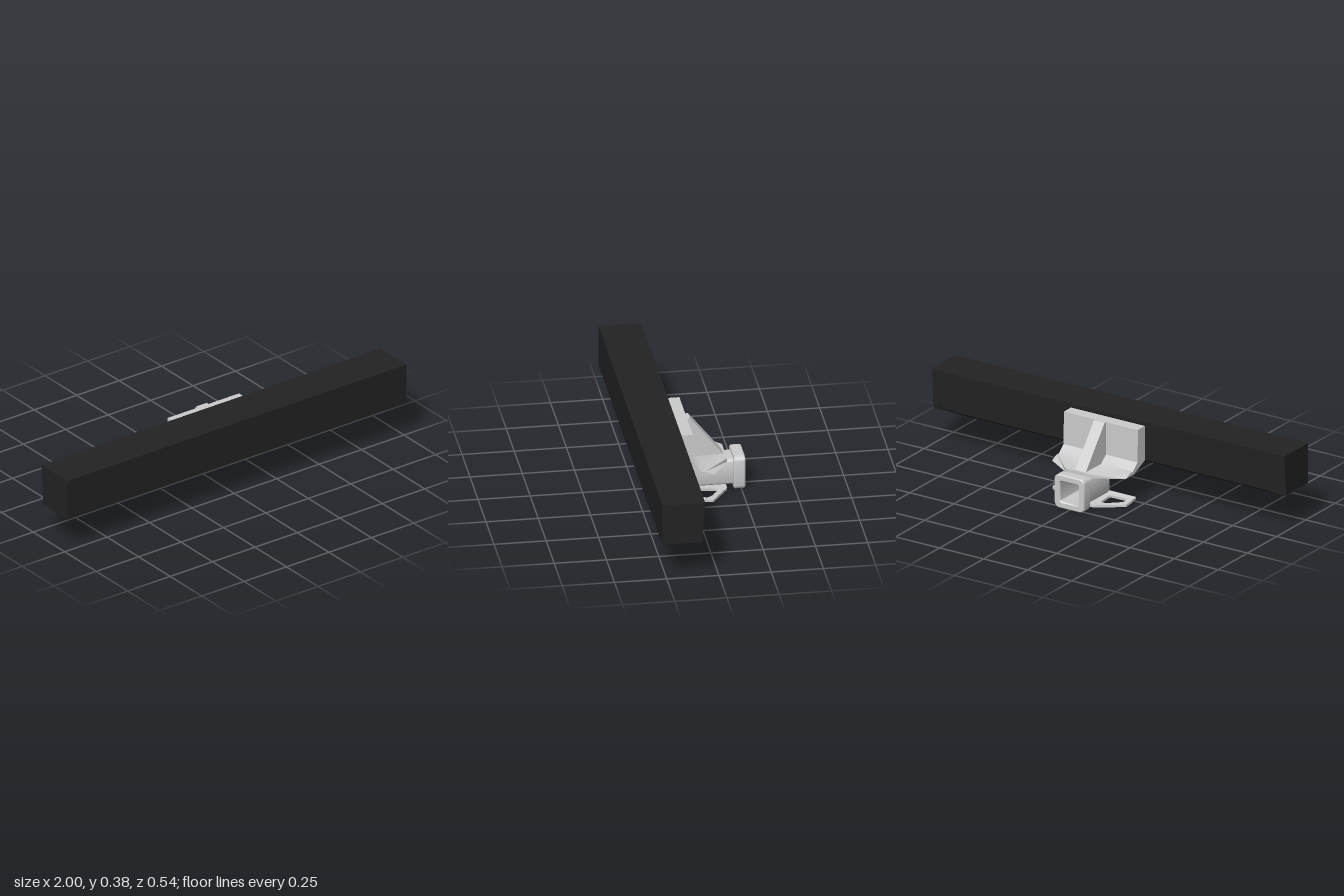
import * as THREE from 'three';
import { toCreasedNormals } from 'three/addons/utils/BufferGeometryUtils.js';

const steel = new THREE.MeshStandardMaterial({ color: 0xcccccc });
const black = new THREE.MeshStandardMaterial({ color: 0x222222 });

function part(name, geometry, material = steel, crease = 0.75) {
  const mesh = new THREE.Mesh(toCreasedNormals(geometry, crease), material);
  mesh.name = name;
  return mesh;
}

// Joins [z, y] sections placed along x and closes both ends
function loft(xs, sections) {
  const n = sections[0].length, pos = [], index = [];
  sections.forEach((s, i) => s.forEach(([z, y]) => pos.push(xs[i], y, z)));
  for (let i = 0; i < xs.length - 1; i++) {
    for (let j = 0; j < n; j++) {
      const a = i * n + j, b = i * n + (j + 1) % n;
      index.push(a, a + n, b, b, a + n, b + n);
    }
  }
  // sections run clockwise in (z, y) with z pointing left
  const cap = (s) => THREE.ShapeUtils.triangulateShape(s.map(([z, y]) => new THREE.Vector2(z, y)), []);
  const end = (xs.length - 1) * n;
  const area = THREE.ShapeUtils.area(sections[0].map(([z, y]) => new THREE.Vector2(z, y)));
  const facing = (t, s, wantPositive) => {
    const [a, b, c] = t.map((k) => s[k]);
    const cross = (b[0] - a[0]) * (c[1] - a[1]) - (b[1] - a[1]) * (c[0] - a[0]);
    return (cross > 0) === wantPositive ? t : [t[0], t[2], t[1]];
  };
  // in (z, y) a counter-clockwise triangle faces -x
  cap(sections[0]).forEach((t) => index.push(...facing(t, sections[0], true)));
  const last = sections[sections.length - 1];
  cap(last).forEach((t) => index.push(...facing(t, last, false).map((k) => k + end)));
  // side walls must face outwards whichever way the section turns
  if (area < 0) {
    const walls = (xs.length - 1) * n * 6;
    for (let i = 0; i < walls; i += 3) [index[i + 1], index[i + 2]] = [index[i + 2], index[i + 1]];
  }
  const g = new THREE.BufferGeometry();
  g.setAttribute('position', new THREE.Float32BufferAttribute(pos, 3));
  g.setIndex(index);
  return g;
}

// Square outline with rounded corners
function roundedSquare(half, r, Type = THREE.Shape) {
  const s = new Type(), h = half - r;
  s.absarc(h, h, r, 0, Math.PI / 2);
  s.absarc(-h, h, r, Math.PI / 2, Math.PI);
  s.absarc(-h, -h, r, Math.PI, Math.PI * 1.5);
  s.absarc(h, -h, r, Math.PI * 1.5, Math.PI * 2);
  s.closePath();
  return s;
}

// Hollow square section from zBack to zFront
function squareTube(half, r, bore, zBack, zFront, bevel) {
  const s = roundedSquare(half - bevel, r);
  s.holes.push(roundedSquare(bore + bevel, 0.01 + bevel, THREE.Path));
  const g = new THREE.ExtrudeGeometry(s, {
    depth: zFront - zBack - 2 * bevel, curveSegments: 6,
    bevelEnabled: bevel > 0, bevelSize: bevel, bevelThickness: bevel, bevelSegments: 1,
  });
  return g.translate(0, 0.085, zBack + bevel);
}

export function createModel() {
  const group = new THREE.Group();

  // Cross beam, its lower back edge shaved towards the ends
  const beamEnd = [[0.27, 0.18], [0.27, 0.385], [0.066, 0.385], [0.079, 0.195], [0.08, 0.18]];
  const beamMid = [[0.27, 0.18], [0.27, 0.385], [0.065, 0.385], [0.065, 0.193], [0.08, 0.18]];
  group.add(part('crossBeam', loft([-1, -0.85, 0.85, 1], [beamEnd, beamMid, beamMid, beamEnd]), black, 0.3));

  // Bent mounting bracket with its rear corners cut off
  const bracket = (top, bottom) => [
    [0.065, 0.365], [0.004, 0.365], [0.002, 0.2], [-0.04, 0.166],
    [top, 0.168], [bottom, 0.15], [-0.03, 0.15], [0.065, 0.191],
  ];
  const side = bracket(-0.055, -0.098), middle = bracket(-0.18, -0.18);
  group.add(part('mountingBracket', loft([-0.21, -0.08, 0.08, 0.21], [side, middle, middle, side])));

  // Sloping rib in the middle of the bracket
  const rib = [[0.01, 0.365], [-0.01, 0.365], [-0.17, 0.167], [0.01, 0.16]];
  group.add(part('centreRib', loft([-0.03, 0.03], [rib, rib]), steel, 0.3));

  // Receiver tube, its inner end plate and the collar round its mouth
  group.add(part('receiverTube', squareTube(0.065, 0.018, 0.052, -0.23, -0.022, 0)));
  const plug = new THREE.BoxGeometry(0.108, 0.108, 0.006).translate(0, 0.085, -0.026);
  group.add(part('tubeEndPlate', plug));
  group.add(part('receiverCollar', squareTube(0.085, 0.022, 0.052, -0.268, -0.214, 0.005)));

  // Safety chain plate: flat outline in (x, -z), then bent up towards the front
  const plate = new THREE.Shape();
  [[-0.21, 0.013], [0.21, 0.013], [0.21, 0.05], [0.21, 0.095], [0.08, 0.18], [-0.08, 0.18], [-0.21, 0.095], [-0.21, 0.05]]
    .forEach(([x, d], i) => (i ? plate.lineTo(x, d) : plate.moveTo(x, d)));
  plate.closePath();
  for (const m of [-1, 1]) {
    const hole = new THREE.Path();
    hole.moveTo(m * 0.1, 0.045);
    hole.lineTo(m * 0.165, 0.045);
    hole.quadraticCurveTo(m * 0.187, 0.048, m * 0.182, 0.072);
    hole.quadraticCurveTo(m * 0.178, 0.087, m * 0.16, 0.096);
    hole.lineTo(m * 0.115, 0.126);
    hole.quadraticCurveTo(m * 0.087, 0.136, m * 0.085, 0.115);
    hole.lineTo(m * 0.085, 0.06);
    hole.quadraticCurveTo(m * 0.085, 0.045, m * 0.1, 0.045);
    plate.holes.push(hole);
  }
  const chain = new THREE.ExtrudeGeometry(plate, { depth: 0.012, bevelEnabled: false, curveSegments: 5 });
  chain.rotateX(-Math.PI / 2);
  const p = chain.attributes.position;
  for (let i = 0; i < p.count; i++) {
    const t = (p.getZ(i) + 0.18) / 0.167;
    p.setY(i, p.getY(i) + 0.002 + 0.005 * t + 0.011 * t ** 4);
  }
  group.add(part('chainPlate', chain));

  return group;
}
